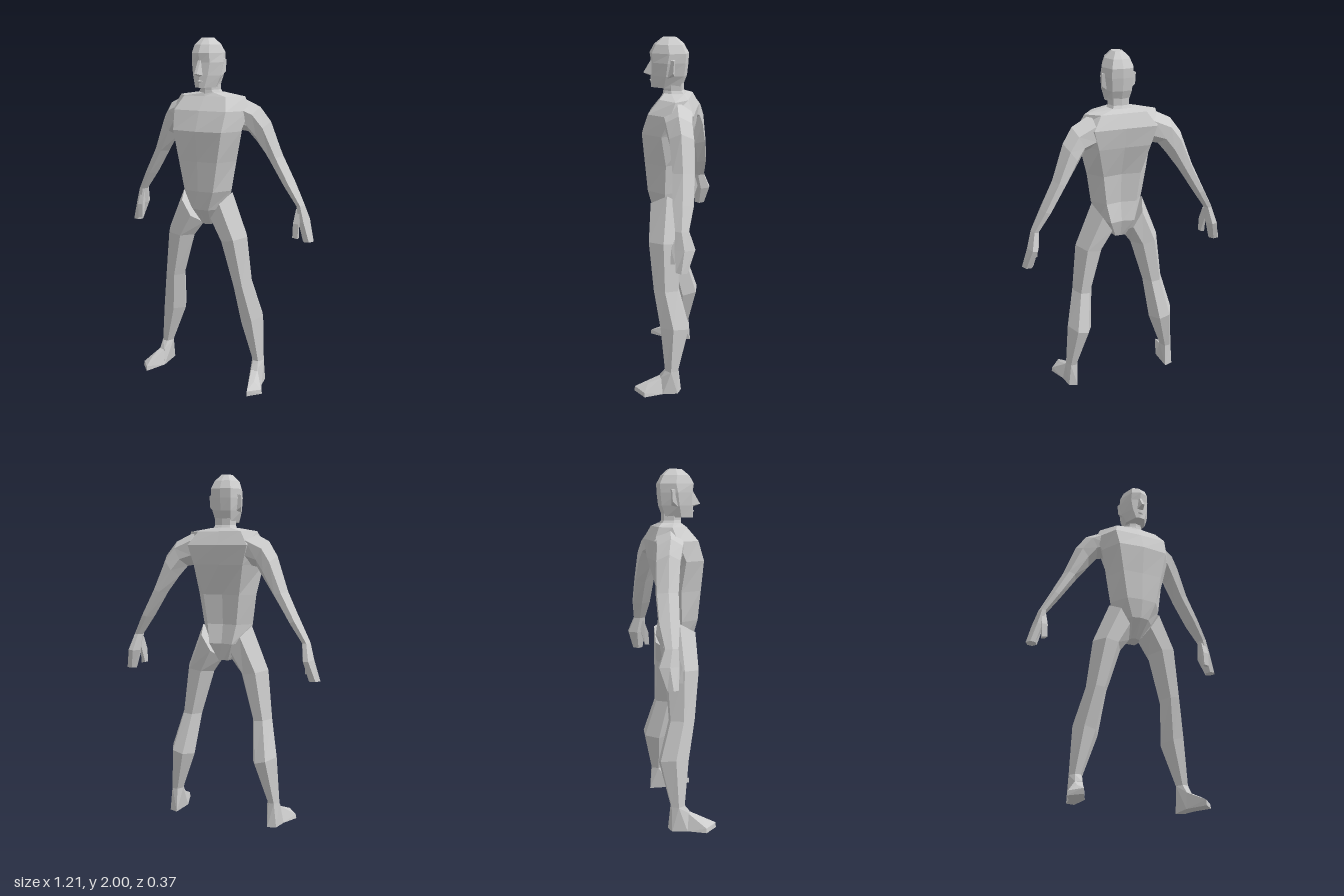
import * as THREE from 'three';
import { ConvexGeometry } from 'three/addons/geometries/ConvexGeometry.js';

const skin = new THREE.MeshStandardMaterial({ color: 0xcccccc });
skin.name = 'plain grey';

const V = (x, y, z) => new THREE.Vector3(x, y, z);

// Faceted skin over a stack of rings, bottom to top, each counterclockwise from above
function loft(rings) {
  const pos = [];
  const tri = (...pts) => pts.forEach((p) => pos.push(p.x, p.y, p.z));
  const n = rings[0].length;
  for (let j = 0; j < rings.length - 1; j++) {
    for (let i = 0; i < n; i++) {
      const k = (i + 1) % n;
      const a = rings[j][i], b = rings[j][k], c = rings[j + 1][k], d = rings[j + 1][i];
      tri(a, b, c);
      tri(a, c, d);
    }
  }
  const low = rings[0], top = rings[rings.length - 1];
  for (let i = 1; i < n - 1; i++) {
    tri(low[0], low[i + 1], low[i]);
    tri(top[0], top[i], top[i + 1]);
  }
  const g = new THREE.BufferGeometry();
  g.setAttribute('position', new THREE.Float32BufferAttribute(pos, 3));
  g.computeVertexNormals();
  return g;
}

// Symmetric ten-sided ring: height, front z, front corner, side, back corner, back z
function bodyRing([y, fc, fx, fz, sx, sz, bx, bz, bc]) {
  const half = [[fx, fz], [sx, sz], [bx, bz]];
  return [
    V(0, y, fc), ...half.map(([x, z]) => V(x, y, z)),
    V(0, y, bc), ...half.reverse().map(([x, z]) => V(-x, y, z)),
  ];
}

// Six-sided limb ring between an outer and an inner point; s is the body side
function limbRing([yo, yi, xo, xi, zf, zb], s) {
  const zm = (zf + zb) / 2;
  const at = (t, z) => V(s * (xo + (xi - xo) * t), yo + (yi - yo) * t, z);
  const ring = [at(0.72, zf), at(0.28, zf), at(0, zm), at(0.28, zb), at(0.72, zb), at(1, zm)];
  return s > 0 ? ring : ring.reverse();
}

const limb = (rows, s) => loft(rows.map((r) => limbRing(r, s)).reverse());
const hull = (pts, s = 1) => new ConvexGeometry(pts.map(([x, y, z]) => V(s * x, y, z)));

const torso = [
  [0.95, 0.04, 0.025, 0.03, 0.04, 0, 0.03, -0.05, -0.05],
  [1.05, 0.115, 0.05, 0.105, 0.12, 0.01, 0.07, -0.09, -0.075],
  [1.16, 0.135, 0.09, 0.125, 0.155, 0.02, 0.09, -0.07, -0.055],
  [1.33, 0.14, 0.12, 0.135, 0.18, 0.01, 0.11, -0.08, -0.065],
  [1.5, 0.16, 0.15, 0.145, 0.215, 0.03, 0.15, -0.125, -0.12],
  [1.61, 0.115, 0.16, 0.11, 0.24, -0.02, 0.18, -0.14, -0.138],
  [1.685, 0.055, 0.13, 0.05, 0.205, -0.045, 0.13, -0.105, -0.105],
  [1.705, 0.045, 0.05, 0.035, 0.075, -0.01, 0.055, -0.075, -0.08],
];
const neck = [
  [1.69, 0.05, 0.05, 0.035, 0.075, -0.01, 0.055, -0.08, -0.085],
  [1.72, 0.045, 0.035, 0.035, 0.058, -0.005, 0.045, -0.06, -0.068],
  [1.78, 0.045, 0.035, 0.035, 0.058, -0.005, 0.045, -0.06, -0.068],
];
const head = [
  [1.735, 0.115, 0.028, 0.108, 0.062, 0.035, 0.045, -0.05, -0.06],
  [1.8, 0.115, 0.045, 0.1, 0.085, 0.02, 0.055, -0.075, -0.085],
  [1.87, 0.112, 0.055, 0.095, 0.094, 0.01, 0.06, -0.083, -0.093],
  [1.92, 0.12, 0.052, 0.1, 0.09, 0, 0.06, -0.085, -0.095],
  [1.965, 0.095, 0.045, 0.08, 0.07, 0.01, 0.045, -0.062, -0.07],
  [2, 0.05, 0.02, 0.045, 0.03, 0.01, 0.02, -0.025, -0.03],
];
// Limb rows: outer y, inner y, outer x, inner x, front z, back z
const arm = [
  [1.685, 1.5, 0.17, 0.16, 0.03, -0.13],
  [1.63, 1.49, 0.285, 0.215, 0.0, -0.14],
  [1.55, 1.435, 0.342, 0.258, -0.025, -0.155],
  [1.36, 1.335, 0.412, 0.33, -0.05, -0.165],
  [1.21, 1.19, 0.485, 0.425, -0.06, -0.167],
  [1.09, 1.085, 0.545, 0.497, -0.08, -0.15],
];
const hand = [
  arm[arm.length - 1],
  [1.0, 0.99, 0.573, 0.508, -0.08, -0.185],
  [0.885, 0.88, 0.605, 0.54, -0.09, -0.15],
];
const leg = [
  [1.15, 0.95, 0.155, 0.03, 0.105, -0.09],
  [0.9, 0.87, 0.255, 0.088, 0.105, -0.075],
  [0.62, 0.61, 0.285, 0.165, 0.073, -0.065],
  [0.41, 0.37, 0.335, 0.19, 0.03, -0.13],
  [0.14, 0.14, 0.35, 0.275, 0.0, -0.075],
];

export function createModel() {
  const model = new THREE.Group();
  model.name = 'figure';
  const add = (name, geometry, parent = model) => {
    const mesh = new THREE.Mesh(geometry, skin);
    mesh.name = name;
    parent.add(mesh);
  };

  add('torso', loft(torso.map(bodyRing)));
  add('neck', loft(neck.map(bodyRing)));

  // Head and face
  const headGroup = new THREE.Group();
  headGroup.name = 'headGroup';
  model.add(headGroup);
  add('head', loft(head.map(bodyRing)), headGroup);
  add('nose', hull([
    [-0.008, 1.885, 0.11], [0.008, 1.885, 0.11], [-0.02, 1.8, 0.105], [0.02, 1.8, 0.105],
    [-0.008, 1.81, 0.155], [0.008, 1.81, 0.155], [0, 1.792, 0.11],
  ]), headGroup);
  add('lips', hull([
    [-0.022, 1.77, 0.108], [0.022, 1.77, 0.108], [0, 1.778, 0.114],
    [0, 1.77, 0.122], [0, 1.758, 0.113],
  ]), headGroup);

  for (const s of [1, -1]) {
    const side = s > 0 ? 'left' : 'right';
    add(side + 'Ear', hull([
      [0.08, 1.89, 0.015], [0.08, 1.79, 0.015], [0.08, 1.89, -0.03], [0.07, 1.8, -0.025],
      [0.097, 1.885, -0.025], [0.095, 1.82, -0.02],
    ], s), headGroup);

    // Arm, hand and thumb
    add(side + 'Arm', limb(arm, s));
    add(side + 'Hand', limb(hand, s));
    add(side + 'Thumb', hull([
      [0.505, 1.07, -0.09], [0.53, 1.06, -0.085], [0.515, 1.04, -0.12], [0.5, 0.99, -0.06],
      [0.535, 0.99, -0.06], [0.5, 0.91, -0.055], [0.53, 0.905, -0.055],
      [0.505, 0.91, -0.08], [0.53, 0.905, -0.08],
    ], s));

    // Leg, then a foot turned outward, made of heel and toe blocks
    add(side + 'Leg', limb(leg, s));
    add(side + 'Heel', hull([
      [0.35, 0.14, -0.038], [0.275, 0.14, -0.038], [0.329, 0.14, 0], [0.296, 0.14, 0],
      [0.329, 0.14, -0.075], [0.296, 0.14, -0.075], [0.345, 0, -0.075], [0.295, 0, -0.09],
      [0.36, 0, 0.01], [0.288, 0, 0.05], [0.335, 0.095, 0.025], [0.3, 0.095, 0.035],
    ], s));
    add(side + 'Toes', hull([
      [0.36, 0, 0.01], [0.288, 0, 0.05], [0.335, 0.095, 0.02], [0.3, 0.095, 0.03],
      [0.405, 0, 0.11], [0.34, 0, 0.18], [0.4, 0.025, 0.11], [0.34, 0.03, 0.178],
      [0.35, 0.06, 0.1],
    ], s));
  }
  return model;
}
